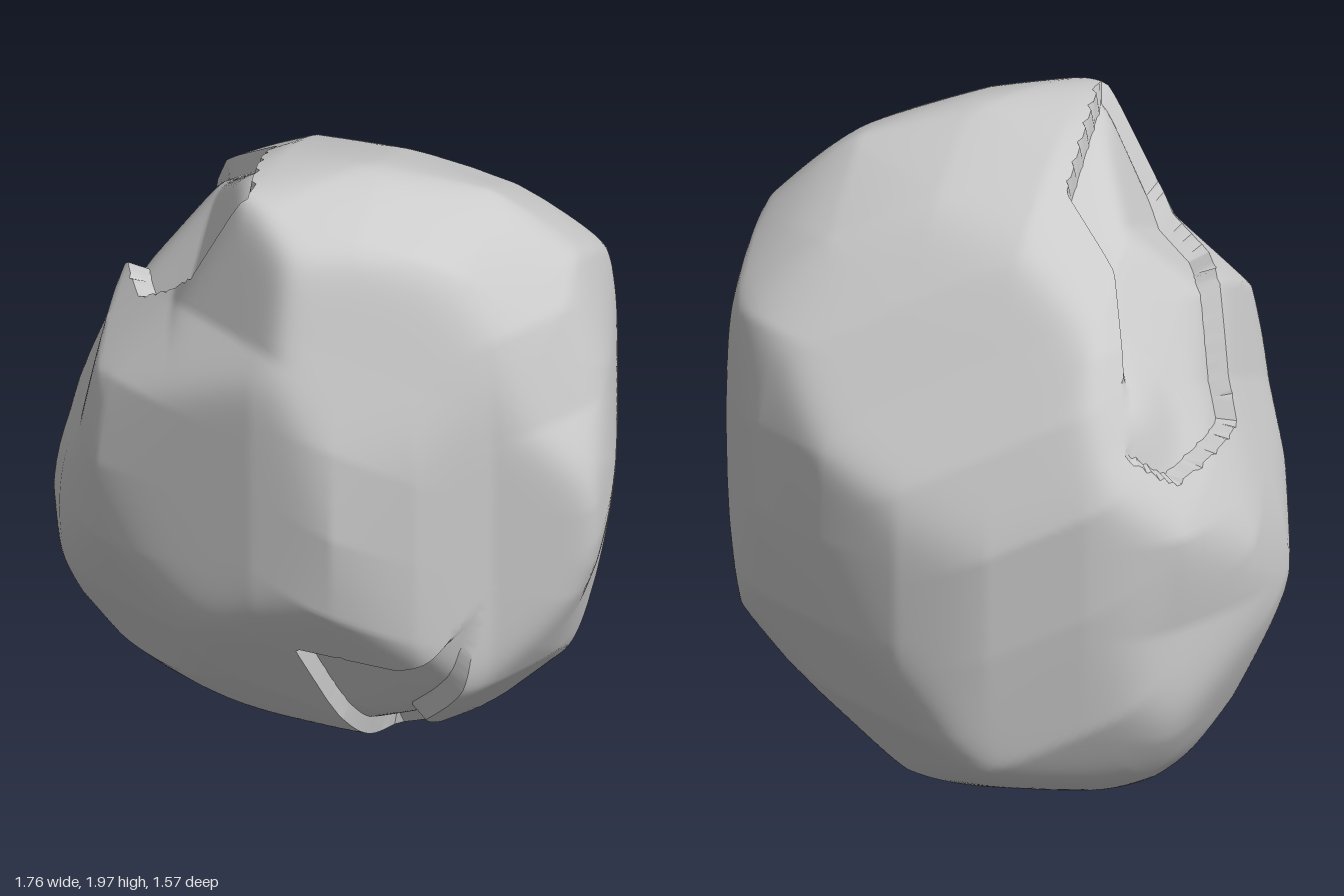
import * as THREE from 'three';
import { mergeVertices, toCreasedNormals } from 'three/addons/utils/BufferGeometryUtils.js';

const CORE = new THREE.Vector3(0, 1, 0);
const fromCore = ([x, y, z]) => new THREE.Vector3(x, y, z).sub(CORE).normalize();
const { degToRad, smoothstep, clamp } = THREE.MathUtils;

// A carver is an outline of radii at even angles around the core,
// swept along the direction given by azimuth and elevation (degrees)
function makeCarver(azimuth, elevation, startAngle, radii) {
  const a = degToRad(azimuth), e = degToRad(elevation);
  const axis = new THREE.Vector3(Math.sin(a) * Math.cos(e), Math.sin(e), Math.cos(a) * Math.cos(e));
  const right = new THREE.Vector3(Math.cos(a), 0, -Math.sin(a));
  const up = axis.clone().cross(right);
  const step = 2 * Math.PI / radii.length;
  // Distance from the core to the swept outline along a direction
  return (dir) => {
    const x = dir.dot(right), y = dir.dot(up);
    const turn = (Math.atan2(y, x) - degToRad(startAngle) + 4 * Math.PI) % (2 * Math.PI) / step;
    const k = Math.floor(turn) % radii.length, angle = (turn - Math.floor(turn)) * step;
    const r0 = radii[k], r1 = radii[(k + 1) % radii.length];
    // Straight side between two neighbouring outline points
    const radius = r0 * r1 * Math.sin(step) / (r0 * Math.sin(angle) + r1 * Math.sin(step - angle));
    return radius / Math.max(Math.hypot(x, y), 0.02);
  };
}

const carvers = [
  makeCarver(0, 0, 0, [0.91, 0.82, 0.91, 1.03, 1.02, 0.955, 0.86, 0.82, 0.8, 0.91, 0.9, 1.11, 1.11, 1.01, 1.0, 0.94, 0.9, 0.9]),
  makeCarver(90, 0, 14, [0.81, 0.865, 0.875, 0.935, 0.99, 1.1, 0.81, 0.81, 0.805, 0.775, 0.785, 0.87, 0.99, 1.01, 1.03, 0.9, 0.83, 0.795]),
  makeCarver(0, 90, 16, [0.95, 0.82, 0.81, 0.825, 0.79, 0.79, 0.825, 0.87, 0.91, 0.9, 0.855, 0.82, 0.81, 0.7, 0.69, 0.735, 0.705, 0.72]),
  makeCarver(33, 25, 0, [0.865, 0.88, 0.945, 0.93, 0.85, 0.84, 0.83, 0.755, 0.77, 0.855, 0.94, 0.95, 0.99, 0.915, 0.945, 0.955, 0.935, 0.91]),
  makeCarver(213, 25, 0, [0.78, 0.725, 0.805, 0.795, 1.09, 1.01, 1.0, 0.955, 0.895, 0.875, 0.825, 0.92, 0.94, 1.06, 1.03, 1.14, 0.985, 0.965]),
  makeCarver(140, -25, 0, [0.815, 0.745, 0.7, 0.76, 0.875, 1.01, 1.005, 0.8, 0.745, 0.735, 0.74, 0.73, 0.8, 0.945, 1.1, 1.15, 1.0, 0.865]),
];

// Soft minimum of all carvers keeps the joins between them rounded
const SOFT = 36;
const bodyRadius = (dir) => 1.01 * carvers.reduce((s, reach) => s + reach(dir) ** -SOFT, 0) ** (-1 / SOFT);

// A chip is a rim polygon projected from the core. It pulls nearby directions
// onto a clean rim and foot, and returns the depth to remove
function makeChip(rim, depth, fadePoint, fadeLength) {
  const dirs = rim.map(fromCore);
  const fade = fromCore(fadePoint);
  const n = dirs.reduce((s, d) => s.add(d), new THREE.Vector3()).normalize();
  const u = new THREE.Vector3(0, 1, 0).cross(n).normalize();
  const v = n.clone().cross(u);
  const flat = (d) => new THREE.Vector2(d.dot(u) / d.dot(n), d.dot(v) / d.dot(n));
  const poly = dirs.map(flat);
  return (dir) => {
    if (dir.dot(n) < 0.4) return 0;
    const p = flat(dir), near = new THREE.Vector2();
    let inside = false, dist = Infinity;
    poly.forEach((a, i) => {
      const b = poly[(i + 1) % poly.length];
      if ((a.y > p.y) !== (b.y > p.y) && p.x < a.x + (b.x - a.x) * (p.y - a.y) / (b.y - a.y)) inside = !inside;
      const e = b.clone().sub(a);
      const t = clamp(p.clone().sub(a).dot(e) / e.lengthSq(), 0, 1);
      const q = e.multiplyScalar(t).add(a);
      if (q.distanceTo(p) < dist) {
        dist = q.distanceTo(p);
        near.copy(q);
      }
    });
    const onRim = dist < 0.012;
    if (onRim) p.copy(near);
    else if (!inside) return 0;
    else if (dist < 0.03) p.sub(near).multiplyScalar(0.03 / dist).add(near);
    dir.copy(n).addScaledVector(u, p.x).addScaledVector(v, p.y).normalize();
    return onRim ? 0 : depth * smoothstep(dir.distanceTo(fade), 0, fadeLength);
  };
}

const chips = [
  // Large chip on the upper right shoulder
  makeChip([
    [-0.85, 1.15, -0.04], [-0.64, 1.17, 0.31], [-0.44, 1.53, 0.45], [-0.28, 1.53, 0.56], [-0.05, 1.64, 0.5],
    [0.09, 2.0, 0.45], [-0.24, 1.88, 0.04], [-0.47, 1.69, 0.02], [-0.77, 1.25, -0.19],
  ], 0.06, [-0.7, 1.33, -0.13], 0.35),
  // Smaller chip low on the left
  makeChip([
    [0.34, 0.58, 0.48], [0.31, 0.31, 0.33], [0.19, 0.03, -0.06], [0.4, 0.2, -0.06],
    [0.48, 0.31, 0.12], [0.65, 0.58, 0.11], [0.7, 0.79, 0.05], [0.49, 0.59, 0.25],
  ], 0.05, [0.65, 0.76, 0.12], 0.4),
];

function rockGeometry() {
  const ball = new THREE.IcosahedronGeometry(1, 56);
  ball.deleteAttribute('normal');
  ball.deleteAttribute('uv');
  const geo = mergeVertices(ball);
  const pos = geo.attributes.position;
  const dir = new THREE.Vector3();
  for (let i = 0; i < pos.count; i++) {
    dir.fromBufferAttribute(pos, i).normalize();
    const cut = chips.reduce((sum, chip) => sum + chip(dir), 0);
    dir.multiplyScalar(bodyRadius(dir) - cut).add(CORE);
    pos.setXYZ(i, dir.x, Math.max(dir.y, 0), dir.z);
  }
  return toCreasedNormals(geo, 0.6);
}

export function createModel() {
  const group = new THREE.Group();
  group.name = 'boulder';
  const rock = new THREE.Mesh(rockGeometry(), new THREE.MeshStandardMaterial({ color: 0xcccccc }));
  rock.name = 'chippedRock';
  group.add(rock);
  return group;
}
